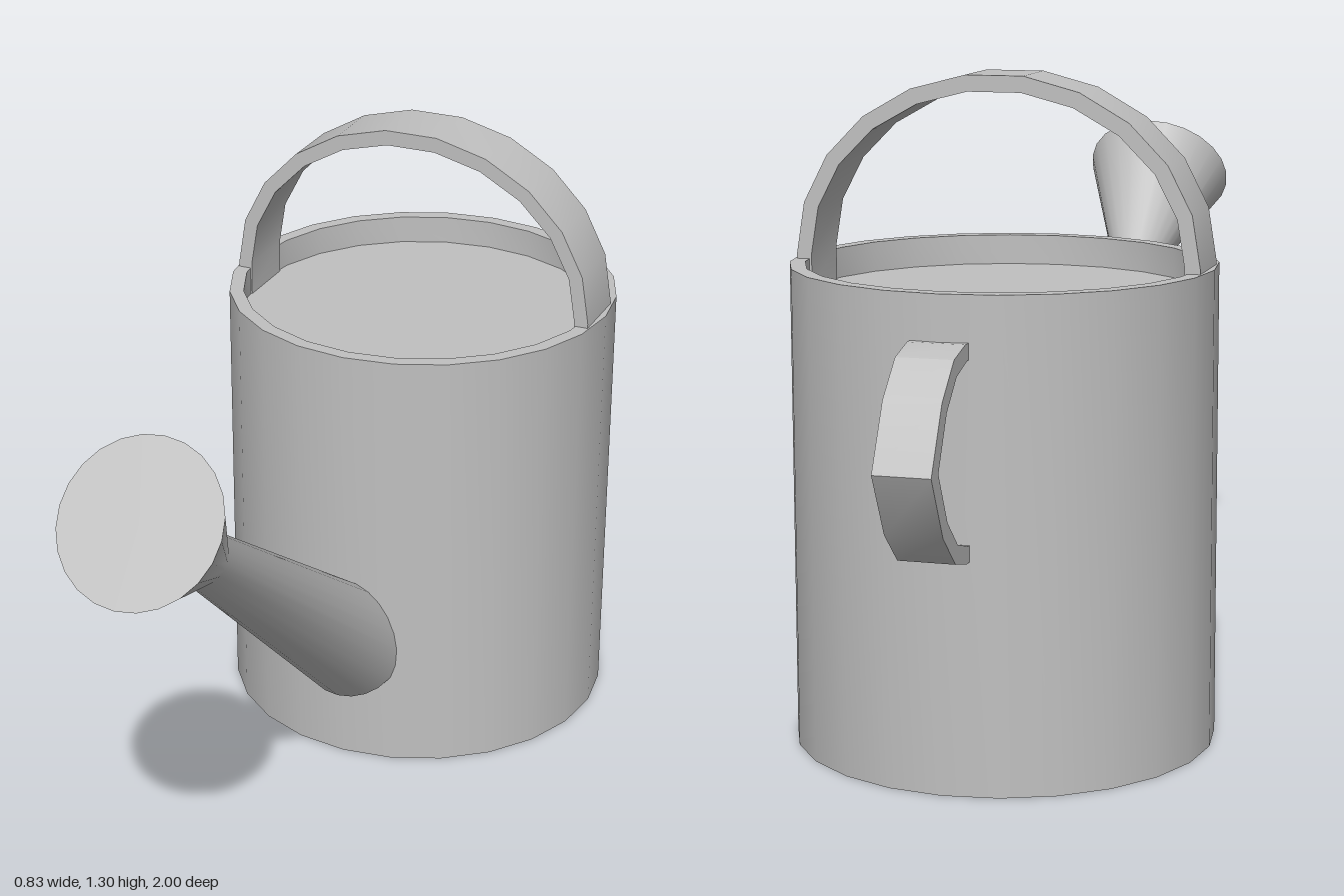
import * as THREE from 'three';
import { toCreasedNormals } from 'three/addons/utils/BufferGeometryUtils.js';

const BODY_Z = -0.375;
const pts = (list) => list.map(([x, y]) => new THREE.Vector2(x, y));

export function createModel() {
  const model = new THREE.Group();
  model.name = 'wateringCan';
  const metal = new THREE.MeshStandardMaterial({ color: 0xc0c0c0 });
  metal.name = 'grey metal';

  const add = (name, geometry) => {
    const mesh = new THREE.Mesh(toCreasedNormals(geometry, 0.5), metal);
    mesh.name = name;
    model.add(mesh);
    return mesh;
  };

  // flat strap: outline extruded evenly about its middle
  const strap = (outer, inner, width) =>
    new THREE.ExtrudeGeometry(new THREE.Shape(pts([...outer, ...inner.slice().reverse()])), {
      depth: width, bevelEnabled: false,
    }).translate(0, 0, -width / 2);

  // can with a raised rim around the sunken lid
  const body = add('body', new THREE.LatheGeometry(pts([
    [0, 0], [0.415, 0], [0.415, 0.94], [0.385, 0.94], [0.385, 0.88], [0, 0.88],
  ]), 24));
  body.position.z = BODY_Z;

  // tapering spout that flares into the closed rose
  const spout = add('spoutAndRose', new THREE.LatheGeometry(pts([
    [0, 0], [0.12, 0], [0.056, 0.876], [0.162, 1.166], [0, 1.166],
  ]), 24));
  spout.position.set(0, 0.248, -0.008);
  spout.rotation.x = 0.891;

  // carrying handle arched over the lid, with straight feet
  const arch = (rx, ry) => {
    const line = [[rx, 0.88]];
    for (let i = 0; i <= 11; i++) {
      const a = (i / 11) * Math.PI;
      line.push([rx * Math.cos(a), 0.95 + ry * Math.sin(a)]);
    }
    line.push([-rx, 0.88]);
    return line;
  };
  const top = add('topHandle', strap(arch(0.402, 0.357), arch(0.372, 0.325), 0.14));
  top.position.z = BODY_Z + 0.005;

  // rear grip, its profile mirrored about its middle height
  const mirrored = (half) => [
    ...half.map(([x, y]) => [x, 0.65 + y]),
    ...half.slice(0, -1).reverse().map(([x, y]) => [x, 0.65 - y]),
  ];
  const outer = mirrored([[0.77, 0.202], [0.8, 0.202], [0.866, 0.186], [0.936, 0.122], [1, 0]]);
  const inner = mirrored([[0.77, 0.171], [0.79, 0.171], [0.852, 0.153], [0.91, 0.099], [0.96, 0]]);
  add('rearHandle', strap(outer, inner, 0.11).rotateY(Math.PI / 2));

  return model;
}
